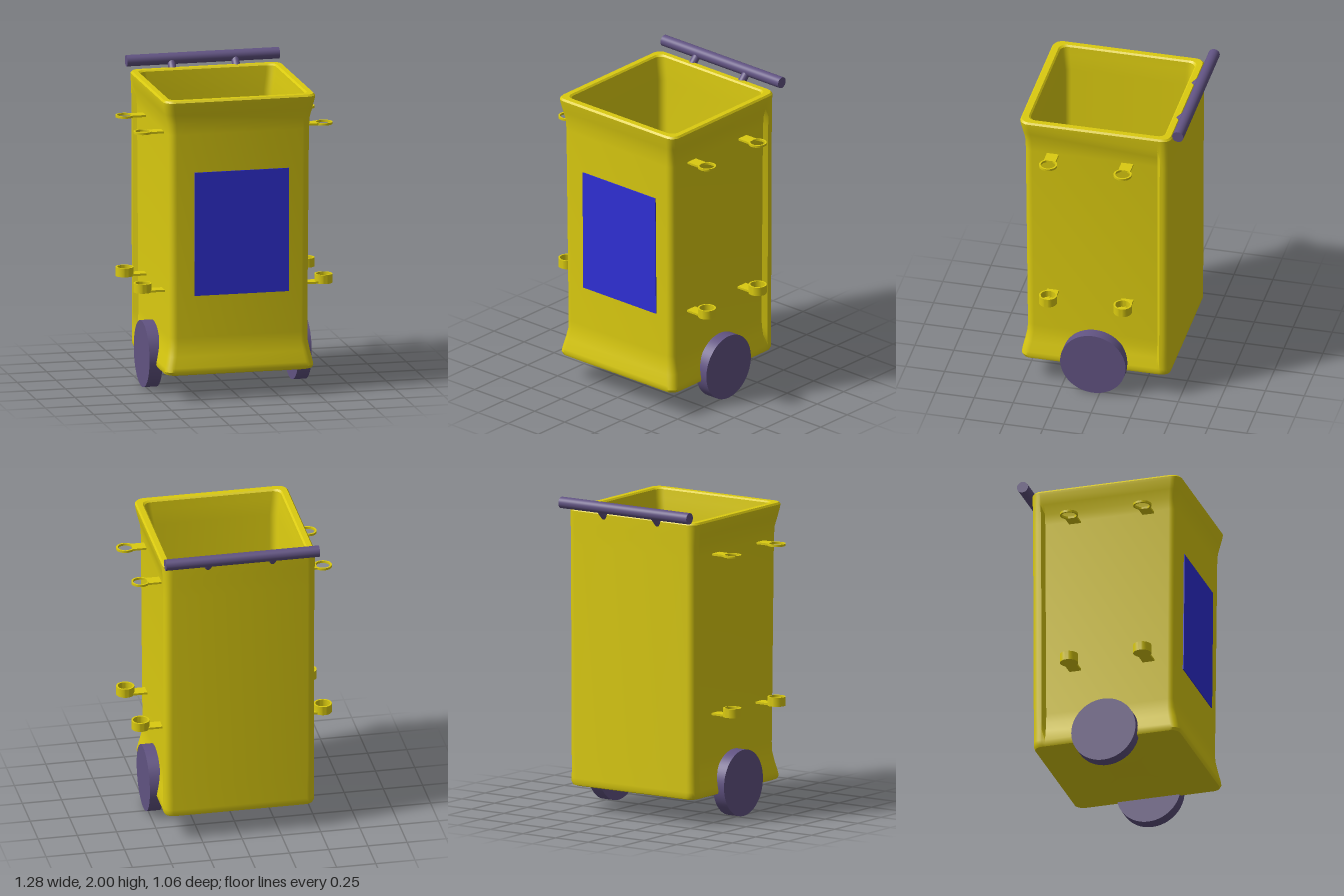
import * as THREE from 'three';
import { toCreasedNormals } from 'three/addons/utils/BufferGeometryUtils.js';

const mat = (name, color) => Object.assign(new THREE.MeshStandardMaterial({ color }), { name });

// Rounded outline with wider back corners; s is how far the sides step in ahead of them
function section(hx, zb, zf, s, r) {
  const half = [];
  const arc = (cx, cz, start) => {
    for (let i = 0; i <= 6; i++) {
      const a = start + (i / 6) * Math.PI / 2;
      half.push([cx + r * Math.cos(a), cz + r * Math.sin(a)]);
    }
  };
  arc(hx - r, zb + r, -Math.PI / 2);
  half.push([hx, zb + 0.065], [hx - s, zb + 0.085]);
  arc(hx - s - r, zf - r, 0);
  return half.concat(half.slice().reverse().map(([x, z]) => [-x, z]));
}

// Skin the rows [y, halfWidth, back, front, sideStep, cornerRadius] in order
function loft(rows) {
  const pos = [], index = [];
  const n = section(...rows[0].slice(1)).length;
  const centre = (y) => { for (let j = 0; j < n; j++) pos.push(0, y, 0.04); };
  centre(rows[0][0]);
  for (const [y, ...p] of rows) for (const [x, z] of section(...p)) pos.push(x, y, z);
  centre(rows[rows.length - 1][0]);
  const last = rows.length + 1;
  for (let i = 0; i < last; i++) {
    for (let j = 0; j < n; j++) {
      const k = (j + 1) % n;
      const a = i * n + j, b = i * n + k, c = b + n, d = a + n;
      if (i < last - 1) index.push(a, d, c);
      if (i > 0) index.push(a, c, b);
    }
  }
  const g = new THREE.BufferGeometry();
  g.setAttribute('position', new THREE.Float32BufferAttribute(pos, 3));
  g.setIndex(index);
  return toCreasedNormals(g, 0.6);
}

export function createModel() {
  const yellow = mat('yellow plastic', 0xdaca10);
  const purple = mat('purple rubber', 0x615382);
  const blue = mat('blue panel', 0x3030d8);
  const model = new THREE.Group();
  model.name = 'wheeledBin';

  const add = (parent, name, geometry, material, x = 0, y = 0, z = 0) => {
    const m = new THREE.Mesh(geometry, material);
    m.name = name;
    m.position.set(x, y, z);
    parent.add(m);
    return m;
  };

  // Hollow body: base, waisted outer walls, rim, inner walls and floor
  add(model, 'body', loft([
    [0.16, 0.455, -0.415, 0.495, 0, 0.05],
    [0.167, 0.472, -0.432, 0.513, 0, 0.055],
    [0.185, 0.48, -0.438, 0.521, 0.002, 0.055],
    [0.21, 0.48, -0.438, 0.518, 0.006, 0.055],
    [0.28, 0.479, -0.438, 0.502, 0.02, 0.055],
    [0.34, 0.478, -0.438, 0.49, 0.03, 0.052],
    [0.4, 0.478, -0.438, 0.488, 0.032, 0.05],
    [1.7, 0.48, -0.442, 0.5, 0.026, 0.05],
    [1.77, 0.481, -0.443, 0.503, 0.022, 0.052],
    [1.83, 0.484, -0.444, 0.514, 0.01, 0.055],
    [1.89, 0.487, -0.445, 0.527, 0, 0.06],
    [1.91, 0.488, -0.445, 0.53, 0, 0.06],
    [1.922, 0.479, -0.436, 0.52, 0, 0.055],
    [1.922, 0.445, -0.402, 0.482, 0, 0.05],
    [1.912, 0.435, -0.392, 0.472, 0, 0.05],
    [1.86, 0.43, -0.39, 0.467, 0, 0.05],
    [1.76, 0.416, -0.385, 0.455, 0, 0.05],
    [0.3, 0.41, -0.38, 0.45, 0, 0.05],
    [0.23, 0.4, -0.37, 0.44, 0, 0.05],
    [0.2, 0.365, -0.335, 0.405, 0, 0.05],
  ]), yellow);

  // Front panel, leaning with the wall
  add(model, 'frontPanel', new THREE.BoxGeometry(0.605, 0.79, 0.008), blue, 0.0125, 1.06, 0.496)
    .rotation.x = 0.0092;

  // Push handle along the back
  const handle = new THREE.Group();
  handle.name = 'handle';
  model.add(handle);
  add(handle, 'handleBar', new THREE.CylinderGeometry(0.036, 0.036, 0.98, 32), purple, 0, 1.965, -0.495)
    .rotation.z = Math.PI / 2;
  for (const x of [-0.205, 0.205]) {
    add(handle, 'handleStub', new THREE.CylinderGeometry(0.025, 0.025, 0.11, 20), purple, x, 1.925, -0.457)
      .rotation.x = -Math.PI / 4;
  }

  // Ring and cup profiles
  const ringShape = new THREE.Shape().absarc(0, 0, 0.057, 0, Math.PI * 2);
  ringShape.holes.push(new THREE.Path().absarc(0, 0, 0.046, 0, Math.PI * 2, true));
  const ringGeo = new THREE.ExtrudeGeometry(ringShape, { depth: 0.014, bevelEnabled: false, curveSegments: 24 });
  ringGeo.rotateX(-Math.PI / 2);
  const cupProfile = [[0, 0], [0.057, 0], [0.057, 0.057], [0.046, 0.057], [0.046, 0.012], [0, 0.012]]
    .map(([x, y]) => new THREE.Vector2(x, y));
  const cupGeo = toCreasedNormals(new THREE.LatheGeometry(cupProfile, 40), 0.6);
  const tabGeo = new THREE.BoxGeometry(0.1, 0.013, 0.076);

  // Wheels and tool holders on both sides
  for (const side of [-1, 1]) {
    add(model, side > 0 ? 'leftWheel' : 'rightWheel',
      new THREE.CylinderGeometry(0.21, 0.21, 0.084, 64), purple, side * 0.479, 0.21, 0.043)
      .rotation.z = Math.PI / 2;
    for (const z of [-0.163, 0.316]) {
      const holder = new THREE.Group();
      holder.name = 'toolHolder';
      model.add(holder);
      add(holder, 'upperRing', ringGeo, yellow, side * 0.581, 1.683, z);
      add(holder, 'upperTab', tabGeo, yellow, side * 0.489, 1.69, z);
      add(holder, 'lowerCup', cupGeo, yellow, side * 0.581, 0.668, z);
      add(holder, 'lowerTab', tabGeo, yellow, side * 0.489, 0.676, z);
    }
  }
  return model;
}
